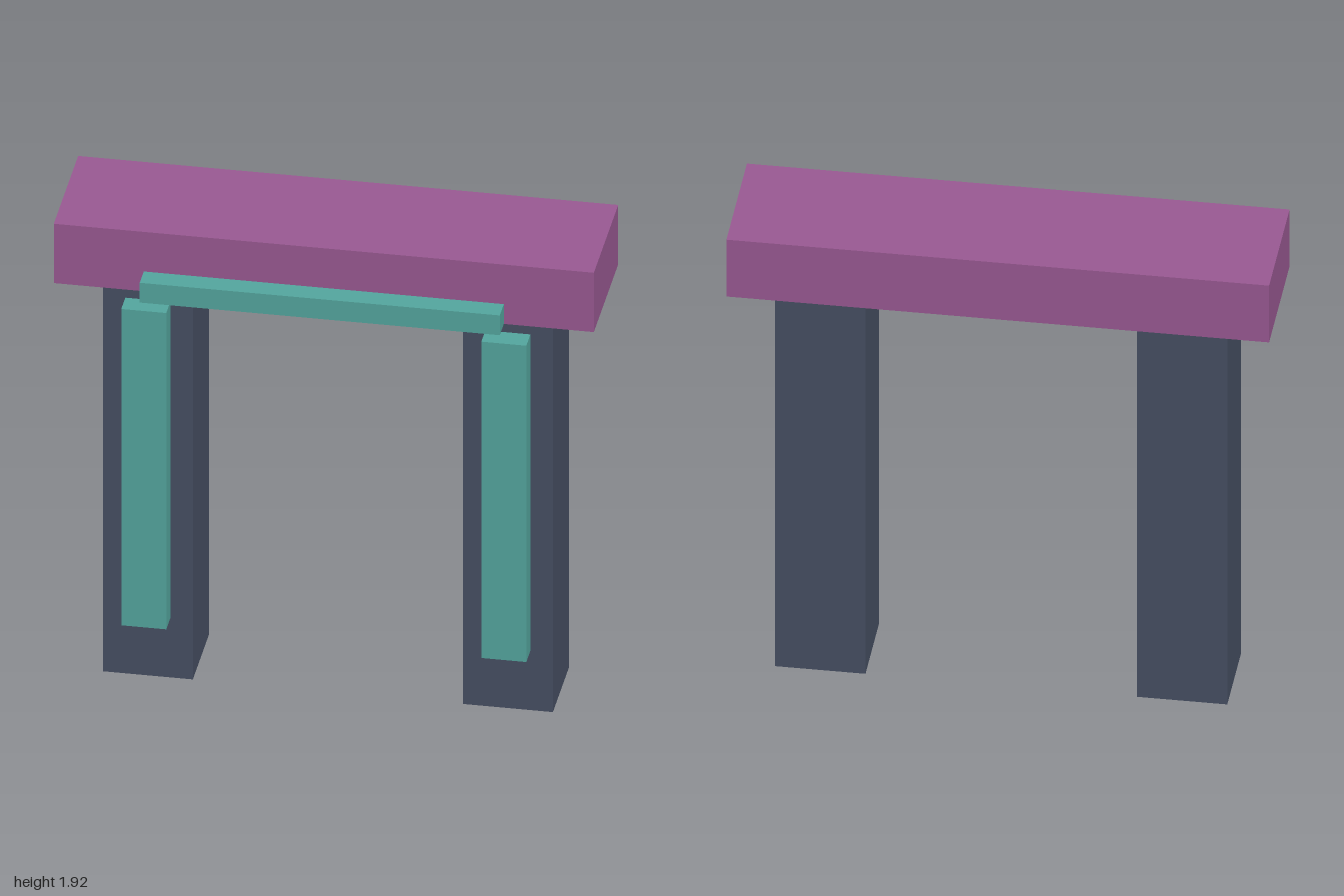
import * as THREE from 'three';

const U = 1 / 12; // module unit of the gate

const stone = new THREE.MeshStandardMaterial({ color: 0x475064 });
const purple = new THREE.MeshStandardMaterial({ color: 0x9b5a94 });
const teal = new THREE.MeshStandardMaterial({ color: 0x55a8a0 });

// Box given by its size and the centre of its base, in module units
function block(name, material, [w, h, d], [x, y, z]) {
  const mesh = new THREE.Mesh(new THREE.BoxGeometry(w * U, h * U, d * U), material);
  mesh.position.set(x * U, (y + h / 2) * U, z * U);
  mesh.name = name;
  return mesh;
}

export function createModel() {
  const gate = new THREE.Group();
  gate.name = 'gate';

  // Pillars, each with a raised strip on its front
  for (const [side, s] of [['left', 1], ['right', -1]]) {
    gate.add(
      block(`${side}Pillar`, stone, [4, 20, 4], [8 * s, 0, -0.5]),
      block(`${side}PillarStrip`, teal, [2, 16, 1], [8 * s, 3, 2])
    );
  }

  // Lintel across the top, with a strip along its lower front edge
  gate.add(
    block('lintel', purple, [24, 3, 6], [0, 20, -0.5]),
    block('lintelStrip', teal, [16, 1, 1], [0, 20, 3])
  );

  return gate;
}
